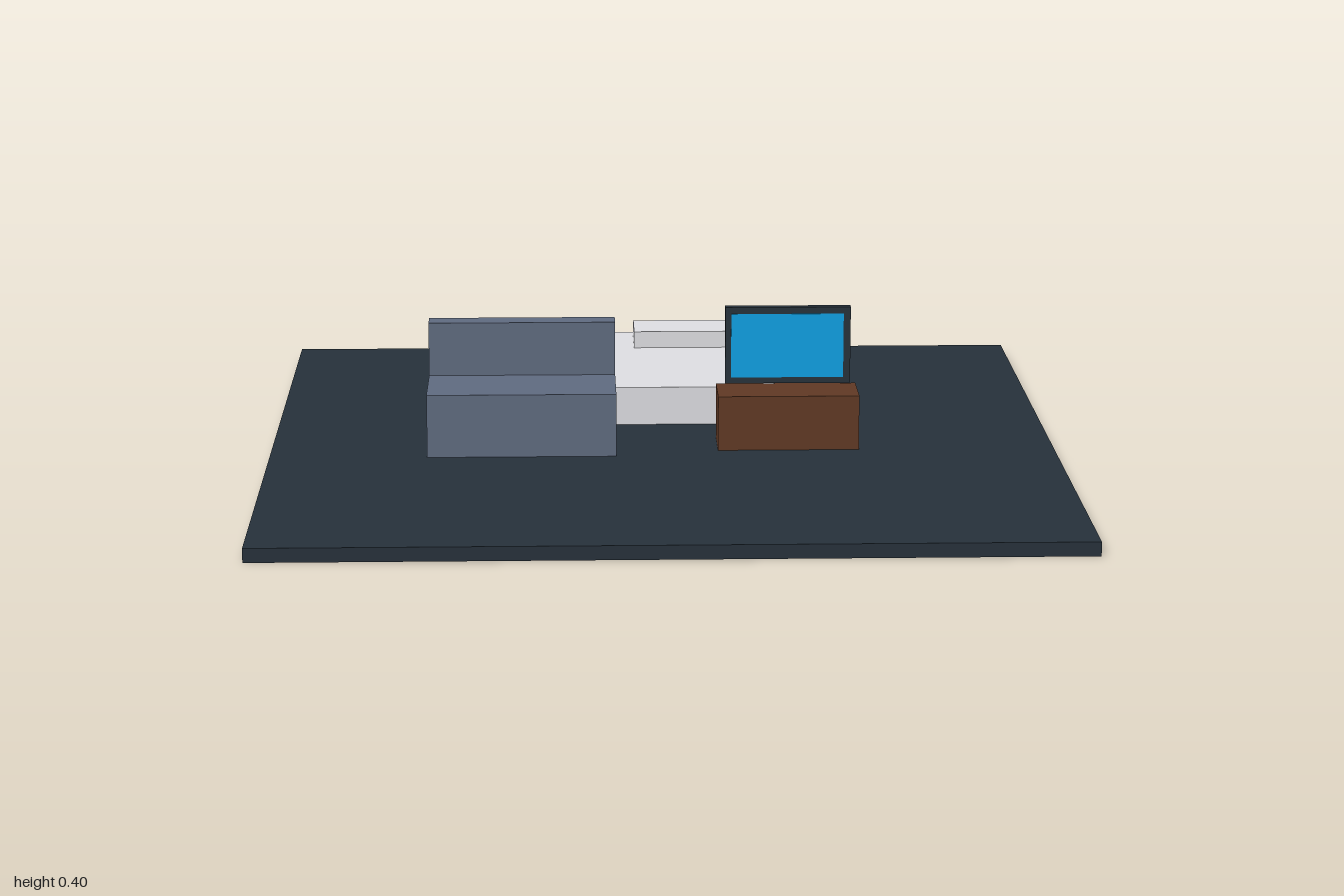
import * as THREE from 'three';

const paint = (name, color) => {
  const material = new THREE.MeshStandardMaterial({ color });
  material.name = name;
  return material;
};

export function createModel() {
  const slate = paint('dark slate', 0x27323c);
  const fabric = paint('blue grey fabric', 0x616d82);
  const linen = paint('pale linen', 0xe2e2e6);
  const wood = paint('brown wood', 0x623a25);
  const glow = paint('screen blue', 0x0ea5e9);

  const model = new THREE.Group();
  model.name = 'room';

  const group = (name) => {
    const g = new THREE.Group();
    g.name = name;
    model.add(g);
    return g;
  };

  // Box given by its [min, max] extent on each axis
  const box = (parent, name, material, [x0, x1], [y0, y1], [z0, z1]) => {
    const mesh = new THREE.Mesh(new THREE.BoxGeometry(x1 - x0, y1 - y0, z1 - z0), material);
    mesh.position.set((x0 + x1) / 2, (y0 + y1) / 2, (z0 + z1) / 2);
    mesh.name = name;
    parent.add(mesh);
  };

  const floorTop = 0.035;
  box(model, 'floor', slate, [-1, 1], [0, floorTop], [-1, 1]);

  // Sofa: the backrest overhangs the rear of the seat
  const sofa = group('sofa');
  box(sofa, 'sofaSeat', fabric, [-0.6, -0.12], [floorTop, 0.197], [-0.04, 0.2]);
  box(sofa, 'sofaBackrest', fabric, [-0.6, -0.12], [0.136, 0.336], [-0.07, -0.01]);

  // Bed with one pillow at the rear
  const bed = group('bed');
  box(bed, 'mattress', linen, [-0.14, 0.3], [floorTop, 0.135], [-0.76, -0.12]);
  box(bed, 'pillow', linen, [-0.06, 0.22], [0.135, 0.18], [-0.71, -0.57]);

  // Television hovering just above its cabinet
  const television = group('television');
  box(television, 'cabinet', wood, [0.14, 0.5], [floorTop, 0.176], [0.01, 0.15]);
  box(television, 'televisionCase', slate, [0.16, 0.48], [0.196, 0.395], [0.068, 0.09]);
  box(television, 'screen', glow, [0.175, 0.462], [0.212, 0.378], [0.088, 0.092]);

  return model;
}
